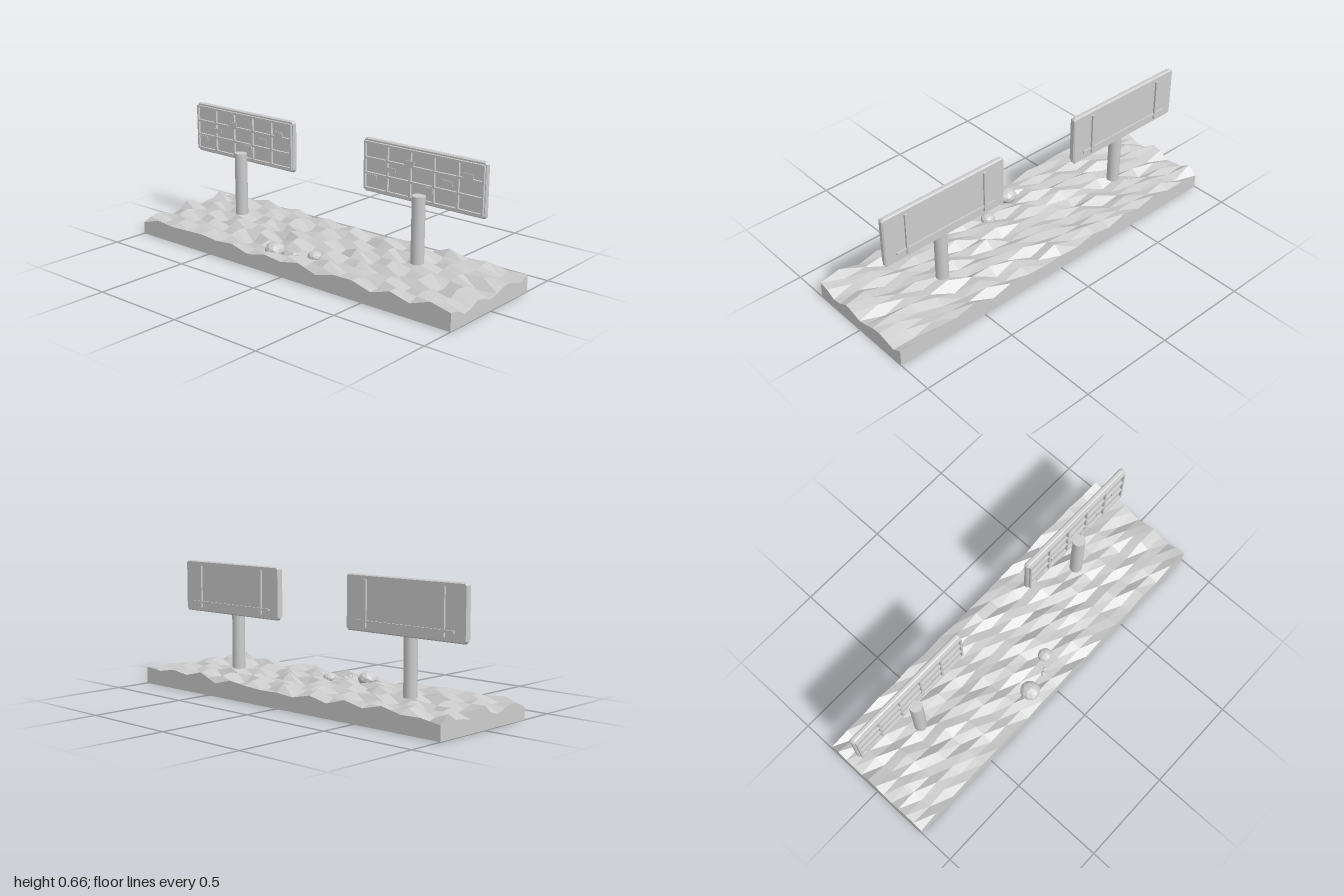
import * as THREE from 'three';

export function createModel() {
  const model = new THREE.Group();
  const grey = new THREE.MeshStandardMaterial({ color: 0xcccccc });
  grey.name = 'light grey';

  const add = (parent, name, geometry, x = 0, y = 0, z = 0) => {
    const mesh = new THREE.Mesh(geometry, grey);
    mesh.name = name;
    mesh.position.set(x, y, z);
    parent.add(mesh);
    return mesh;
  };
  const faceted = (geometry) => {
    const g = geometry.index ? geometry.toNonIndexed() : geometry;
    g.computeVertexNormals();
    return g;
  };

  // Rugged ground slab: the top grid is displaced, sides follow it
  const NX = 18, NZ = 12, W = 2, D = 0.62;
  const endProfile = [0.088, 0.062, 0.075, 0.09, 0.085, 0.068, 0.057,
    0.075, 0.087, 0.06, 0.052, 0.08, 0.088];
  const noise = (i, j) => {
    const s = Math.sin(i * 127.1 + j * 311.7) * 43758.5453;
    return s - Math.floor(s);
  };
  const height = (i, j) => {
    if (i === NX) return endProfile[j];
    const wave = 0.017 * Math.sin(i * 2.8 + j * 1.4);
    return 0.087 + wave + (noise(i, j) - 0.5) * 0.03;
  };
  const ground = new THREE.BoxGeometry(D, 0.1, W, NZ, 1, NX)
    .rotateY(Math.PI / 2).translate(0, 0.05, 0);
  const p = ground.attributes.position;
  for (let k = 0; k < p.count; k++) {
    if (p.getY(k) < 0.05) continue;
    const i = Math.round((p.getX(k) / W + 0.5) * NX);
    const j = Math.round((p.getZ(k) / D + 0.5) * NZ);
    p.setY(k, height(i, j));
  }
  add(model, 'ground', faceted(ground));

  // Loose rocks and pebbles: x, y, z, radius
  [[-0.115, 0.092, 0.225, 0.052], [0.08, 0.083, 0.15, 0.037],
    [0, 0.09, 0.215, 0.016], [0.02, 0.088, 0.2, 0.011]].forEach(([x, y, z, r], n) => {
    const shape = new THREE.IcosahedronGeometry(r, r > 0.02 ? 1 : 0);
    const rock = add(model, 'rock', faceted(shape), x, y, z);
    rock.scale.set(1, 0.76, 1.03);
    rock.rotation.y = n;
  });

  // Board outline with clipped corners
  const hw = 0.349, hh = 0.129, c = 0.008;
  const outline = new THREE.Shape([
    [-hw + c, -hh], [hw - c, -hh], [hw, -hh + c], [hw, hh - c],
    [hw - c, hh], [-hw + c, hh], [-hw, hh - c], [-hw, -hh + c],
  ].map(([x, y]) => new THREE.Vector2(x, y)));
  const boardGeo = new THREE.ExtrudeGeometry(outline, {
    depth: 0.012, bevelThickness: 0.007, bevelSize: 0.005, bevelSegments: 1,
  });
  const crossBarGeo = new THREE.BoxGeometry(0.69, 0.01, 0.012);
  const uprightGeo = new THREE.BoxGeometry(0.01, 0.24, 0.012);
  const chipGeo = new THREE.BoxGeometry(0.055, 0.024, 0.004);
  const ribGeo = new THREE.BoxGeometry(0.014, 0.223, 0.012);
  const railGeo = new THREE.BoxGeometry(0.58, 0.011, 0.008);
  const postGeo = new THREE.CylinderGeometry(0.033, 0.033, 0.335, 24);

  // Two matching panels on posts
  for (const x of [-0.622, 0.547]) {
    const panel = new THREE.Group();
    panel.name = 'panelOnPost';
    panel.position.x = x;
    model.add(panel);

    add(panel, 'post', postGeo, 0, 0.2725, -0.055);
    add(panel, 'board', boardGeo, 0, 0.524, -0.101);

    // Raised front lattice, five by three fields
    for (const y of [0.41, 0.487, 0.563, 0.64]) {
      add(panel, 'crossBar', crossBarGeo, 0, y, -0.076);
    }
    for (let i = 0; i <= 5; i++) {
      add(panel, 'upright', uprightGeo, -0.34 + i * 0.136, 0.525, -0.076);
    }

    // Chips in front of the board
    for (let row = 0; row < 3; row++) {
      for (const dx of [0, 0.33]) {
        add(panel, 'chip', chipGeo, -0.285 + row * 0.11 + dx, 0.474 + row * 0.0545, -0.062);
      }
    }

    // Back supports
    for (const side of [-1, 1]) {
      add(panel, 'backRib', ribGeo, side * 0.23, 0.5235, -0.112);
    }
    add(panel, 'backRail', railGeo, 0, 0.44, -0.112);
  }
  return model;
}
